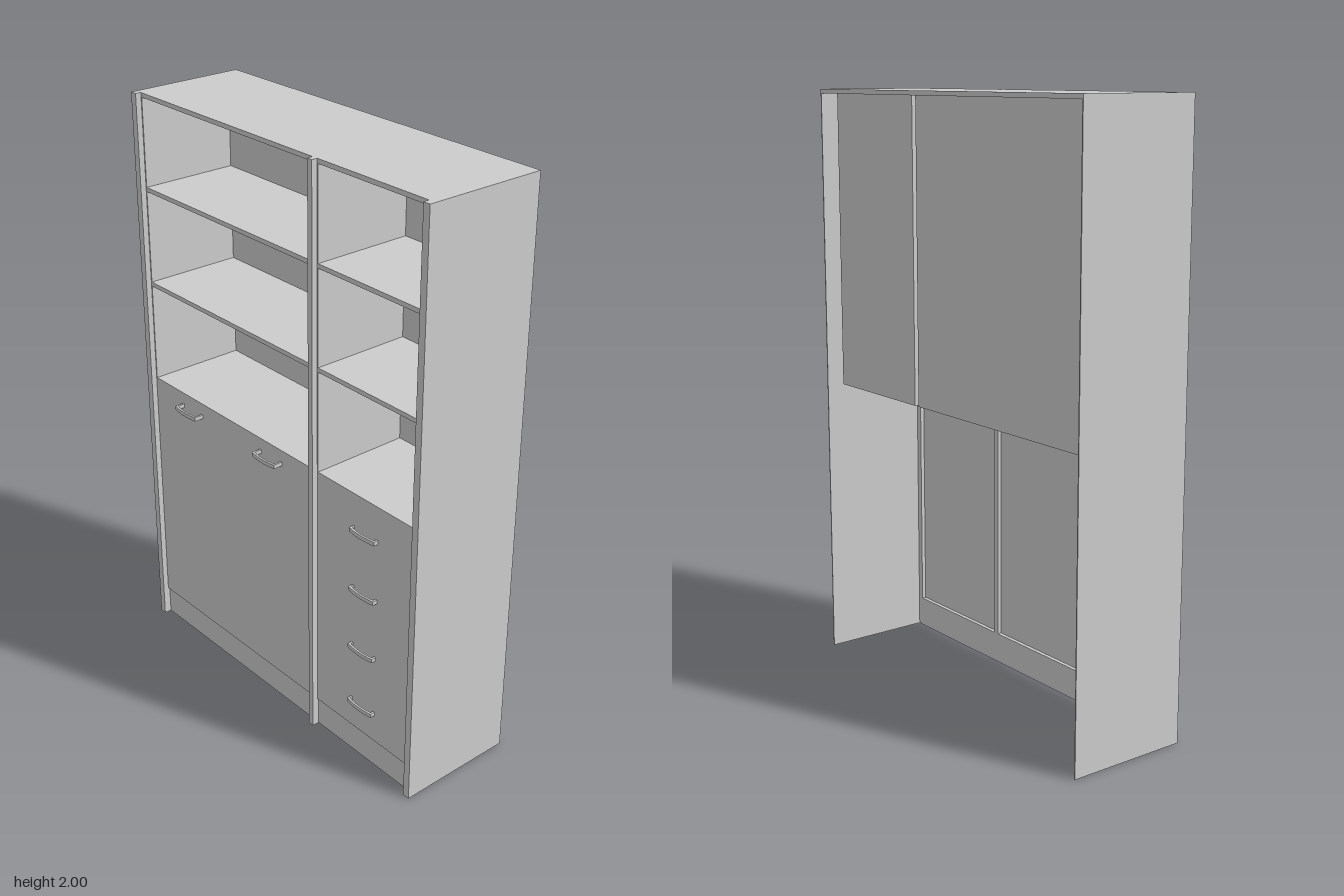
import * as THREE from 'three';

const material = new THREE.MeshStandardMaterial({ color: 0xcccccc, side: THREE.DoubleSide });
const H = 2, BACK = -0.22, FRONT = 0.18, STILE_FRONT = 0.2, INNER_BACK = -0.17;
const THIN = 0.004, BOARD = 0.015;

// Box given by its minimum and maximum corners
function board(name, x0, x1, y0, y1, z0, z1) {
  const mesh = new THREE.Mesh(new THREE.BoxGeometry(x1 - x0, y1 - y0, z1 - z0), material);
  mesh.position.set((x0 + x1) / 2, (y0 + y1) / 2, (z0 + z1) / 2);
  mesh.name = name;
  return mesh;
}

// Bowed pull handle: a bent flat bar with two legs reaching the front panel
function handle(name, x, y, reach) {
  const w = 0.057, t = 0.007, bow = 0.012;
  const s = new THREE.Shape();
  s.moveTo(-w, 0);
  s.lineTo(-w, reach - 0.007);
  s.quadraticCurveTo(0, reach - 0.007 + bow, w, reach - 0.007);
  s.lineTo(w, 0);
  s.lineTo(w - t, 0);
  s.lineTo(w - t, reach - 0.007 - t);
  s.quadraticCurveTo(0, reach - 0.007 - t + bow, -w + t, reach - 0.007 - t);
  s.lineTo(-w + t, 0);
  s.closePath();
  const geo = new THREE.ExtrudeGeometry(s, { depth: 0.014, bevelEnabled: false, curveSegments: 8 });
  geo.rotateX(Math.PI / 2); // outline depth becomes +z
  const mesh = new THREE.Mesh(geo, material);
  mesh.position.set(x, y + 0.007, FRONT);
  mesh.name = name;
  return mesh;
}

export function createModel() {
  const group = new THREE.Group();
  const add = (...args) => group.add(board(...args));

  // Outer shell, open at the bottom and at the back
  add('topPanel', -0.685, 0.685, H - BOARD, H, BACK, FRONT);
  for (const [name, s] of [['left', 1], ['right', -1]]) {
    const x0 = s > 0 ? 0.685 - THIN : -0.685;
    add(name + 'SidePanel', x0, x0 + THIN, 0, H, BACK, FRONT);
    add(name + 'Stile', s > 0 ? 0.66 : -0.685, s > 0 ? 0.685 : -0.66, 0, H, FRONT - 0.02, STILE_FRONT);
  }
  add('middleStile', 0.19, 0.21, 0, H, FRONT - 0.02, STILE_FRONT);

  // Two bays: a shelved niche above, a closed front and a plinth below
  const bays = [
    { name: 'wide', x0: -0.66, x1: 0.19 },
    { name: 'narrow', x0: 0.21, x1: 0.66 },
  ];
  for (const { name, x0, x1 } of bays) {
    const floor = 0.975;
    add(name + 'NicheBack', x0, x1, floor, H - BOARD, INNER_BACK, INNER_BACK + THIN);
    add(name + 'NicheRightWall', x0, x0 + THIN, floor, H - BOARD, INNER_BACK, FRONT);
    add(name + 'NicheLeftWall', x1 - THIN, x1, floor, H - BOARD, INNER_BACK, FRONT);
    for (const y of [floor, 1.335, 1.67]) {
      add(name + 'Shelf', x0, x1, y, y + BOARD, INNER_BACK, FRONT);
    }
    add(name + 'FrontPanel', x0, x1, 0.105, floor, FRONT - 0.006, FRONT);
    add(name + 'Plinth', x0, x1, 0, 0.105, FRONT - 0.02, FRONT - 0.006);
  }

  // Handles of the wide front and of the four drawers
  for (const x of [-0.447, -0.022]) group.add(handle('doorHandle', x, 0.942, 0.04));
  for (const y of [0.868, 0.651, 0.432, 0.214]) group.add(handle('drawerHandle', 0.438, y, 0.024));

  return group;
}
